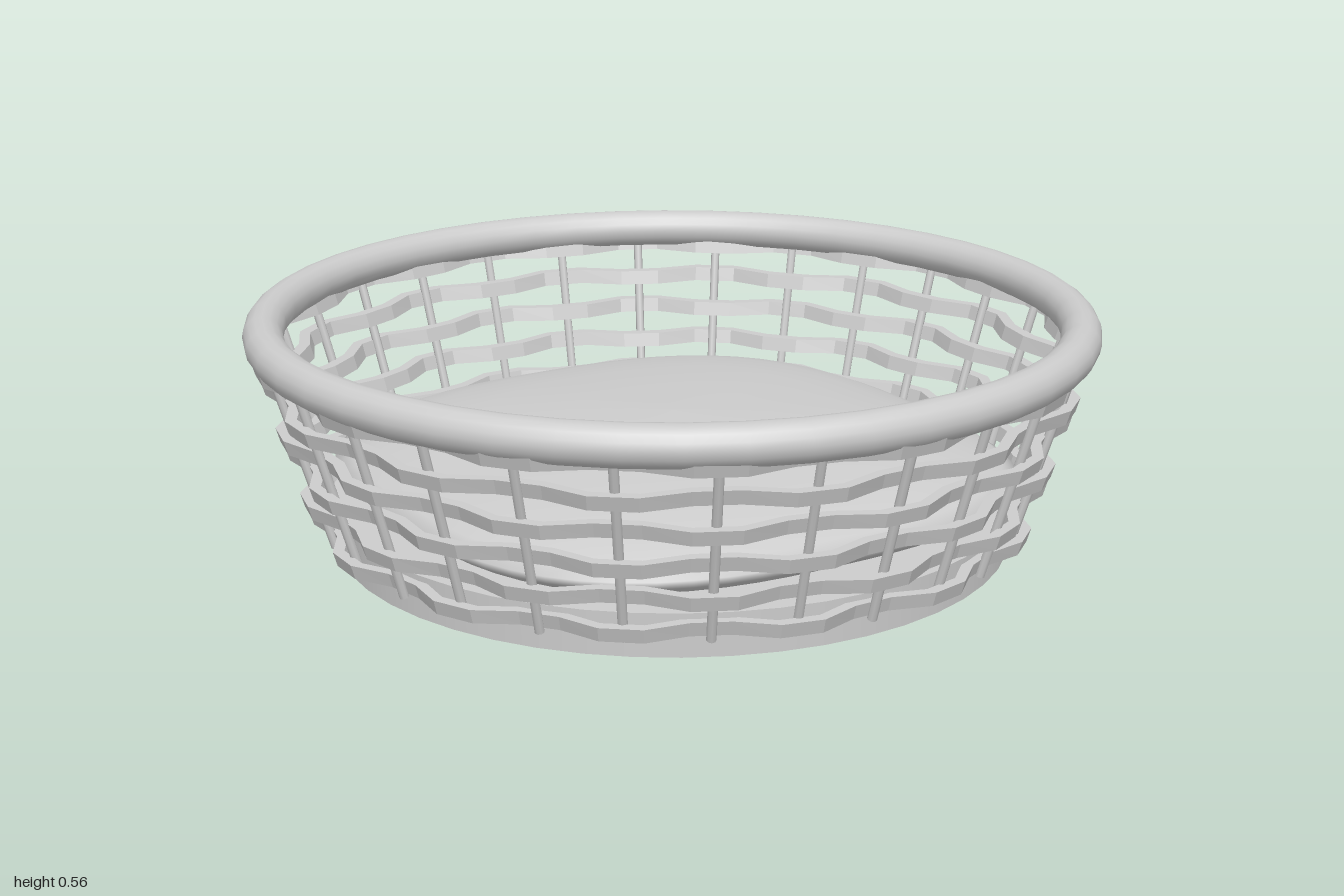
import * as THREE from 'three';

const STAKES = 28;
// radius of the flared wall at height y
const wallRadius = (y) => 0.82 + (y - 0.045) * 0.3;

// Joins equal-length loops of points into a surface; optionally joins last loop to first
function loft(loops, closeRings) {
  const n = loops[0].length, m = loops.length;
  const pos = loops.flat(2), index = [];
  for (let i = 0; i < (closeRings ? m : m - 1); i++) {
    for (let j = 0; j < n; j++) {
      const a = i * n + j, b = i * n + (j + 1) % n;
      const k = ((i + 1) % m) * n;
      const c = k + j, d = k + (j + 1) % n;
      index.push(a, b, d, a, d, c);
    }
  }
  const g = new THREE.BufferGeometry();
  g.setAttribute('position', new THREE.Float32BufferAttribute(pos, 3));
  g.setIndex(index);
  return g;
}

// One woven strand: a bar bent in and out around the stakes
function strandGeometry(y, phase) {
  const hw = 0.014, hh = 0.017, loops = [];
  const section = [[-hw, -hh], [-hw, hh], [hw, hh], [hw, -hh]];
  for (let i = 0; i < STAKES * 2; i++) {
    const t = (i + 0.5) / 2;                      // in stake spacings
    const a = (t / STAKES) * Math.PI * 2;
    const wave = 0.02 * Math.sign(Math.cos(Math.PI * t)) * phase;
    loops.push(section.map(([u, v]) => {
      const r = wallRadius(y) + wave + u + v * 0.3;
      return [r * Math.sin(a), y + v, r * Math.cos(a)];
    }));
  }
  const g = loft(loops, true).toNonIndexed();
  g.computeVertexNormals();
  return g;
}

// Domed cushion with a rounded-square outline
function cushionGeometry() {
  const profile = [[0.001, 0.1], [0.64, 0.102], [0.705, 0.13], [0.735, 0.15], [0.75, 0.172],
    [0.715, 0.198], [0.65, 0.226], [0.56, 0.251], [0.42, 0.274], [0.22, 0.29], [0.001, 0.296]];
  const N = 64, e = 2.75;
  const loops = profile.map(([s, y]) => Array.from({ length: N }, (_, j) => {
    const a = (j / N) * Math.PI * 2, c = Math.cos(a), d = Math.sin(a);
    const r = s / Math.pow(Math.abs(c) ** e + Math.abs(d) ** e, 1 / e);
    return [r * d, y, r * c];
  }));
  const g = loft(loops, false);
  g.computeVertexNormals();
  return g;
}

export function createModel() {
  const group = new THREE.Group();
  group.name = 'basket';
  const grey = new THREE.MeshStandardMaterial({ color: 0xcccccc });
  grey.name = 'light grey';
  const add = (name, geometry, parent = group) => {
    const mesh = new THREE.Mesh(geometry, grey);
    mesh.name = name;
    parent.add(mesh);
    return mesh;
  };

  // solid round base
  add('base', new THREE.CylinderGeometry(0.805, 0.805, 0.1, 48)).position.y = 0.05;

  add('cushion', cushionGeometry());

  // thick rolled rim
  const rim = add('rim', new THREE.TorusGeometry(0.953, 0.047, 16, 48));
  rim.rotation.x = Math.PI / 2;
  rim.position.y = 0.518;

  // upright stakes leaning outward
  const stakes = new THREE.Group();
  stakes.name = 'stakes';
  group.add(stakes);
  const y0 = 0.045, y1 = 0.5;
  const r0 = wallRadius(y0), r1 = wallRadius(y1);
  const stakeGeometry = new THREE.CylinderGeometry(0.011, 0.011, Math.hypot(r1 - r0, y1 - y0), 8);
  stakeGeometry.rotateX(Math.atan2(r1 - r0, y1 - y0));
  stakeGeometry.translate(0, (y0 + y1) / 2, (r0 + r1) / 2);
  for (let i = 0; i < STAKES; i++) {
    add('stake', stakeGeometry, stakes).rotation.y = (i / STAKES) * Math.PI * 2;
  }

  // woven strands, alternating in and out
  const strands = new THREE.Group();
  strands.name = 'strands';
  group.add(strands);
  for (let i = 0; i < 6; i++) {
    add('strand', strandGeometry(0.07 + i * 0.081, i % 2 ? 1 : -1), strands);
  }
  return group;
}
